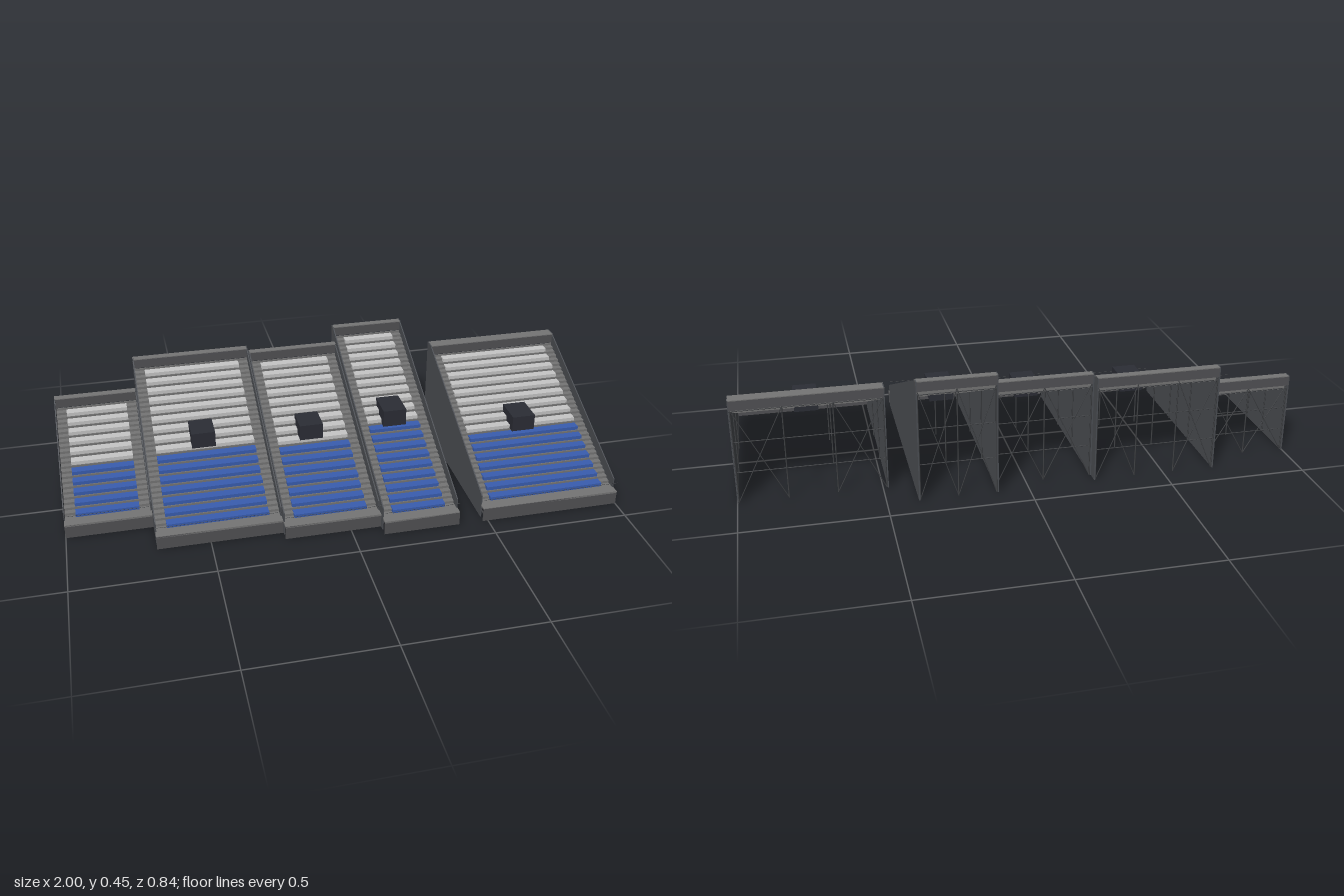
import * as THREE from 'three';

const mat = (name, color) => new THREE.MeshStandardMaterial({ name, color });
const M = {
  panel: mat('slate panel', 0x4c4f54),
  fascia: mat('dark grey fascia', 0x515154),
  deck: mat('concrete grey', 0x757575),
  white: mat('light grey seat', 0xc6c6c6),
  blue: mat('blue seat', 0x395db0),
  portal: mat('charcoal portal', 0x2b2d35),
  steel: mat('dark steel', 0x414346),
};

// Stand blocks: x range, z range, height, back band depth, rows, blue rows, entrance [x, z back, z front, y low, y high]
const STANDS = [
  { x: [-1, -0.69], z: [-0.33, 0.19], h: 0.30, band: 0.028, rows: 11, blue: 5 },
  { x: [-0.69, -0.24], z: [-0.41, 0.33], h: 0.395, band: 0.028, rows: 16, blue: 7, entry: [-0.472, -0.105, 0.0, 0.195, 0.255] },
  { x: [-0.24, 0.11], z: [-0.37, 0.37], h: 0.395, band: 0.026, rows: 16, blue: 7, entry: [-0.072, -0.07, 0.03, 0.195, 0.255] },
  { x: [0.11, 0.39], z: [-0.42, 0.42], h: 0.445, band: 0.026, rows: 19, blue: 9, entry: [0.25, -0.08, 0.035, 0.215, 0.28] },
  { x: [0.48, 1], z: [-0.305, 0.42], h: 0.385, band: 0.045, rows: 16, blue: 7, entry: [0.737, 0.01, 0.12, 0.18, 0.24] },
];
const DECK_Y = 0.053, AISLE = 0.042, WALL = 0.004;

// Box given by its limits on each axis
function box(parent, name, material, x0, x1, y0, y1, z0, z1) {
  const m = new THREE.Mesh(new THREE.BoxGeometry(x1 - x0, y1 - y0, z1 - z0), material);
  m.position.set((x0 + x1) / 2, (y0 + y1) / 2, (z0 + z1) / 2);
  m.name = name;
  parent.add(m);
}

// Thin bar between two points
function bar(parent, name, a, b, r = 0.0016) {
  const p = new THREE.Vector3(...a), q = new THREE.Vector3(...b);
  const m = new THREE.Mesh(new THREE.CylinderGeometry(r, r, p.distanceTo(q), 6), M.steel);
  m.position.copy(p).lerp(q, 0.5);
  m.quaternion.setFromUnitVectors(new THREE.Vector3(0, 1, 0), q.sub(p).normalize());
  m.name = name;
  parent.add(m);
}

// Sloping side wall, drawn in (z, y) and extruded across x
function sideWall(parent, x, zb, zf, h, band) {
  const s = new THREE.Shape();
  s.moveTo(-zf, 0);
  s.lineTo(-zb, 0);
  s.lineTo(-zb, h);
  s.lineTo(-zb - band, h);
  s.lineTo(-zb - band, h - 0.004);
  s.lineTo(-zf, 0.09);
  s.closePath();
  const m = new THREE.Mesh(new THREE.ExtrudeGeometry(s, { depth: WALL, bevelEnabled: false }), M.panel);
  m.rotation.y = Math.PI / 2;
  m.position.x = x;
  m.name = 'sideWall';
  parent.add(m);
}

function buildStand({ x: [x0, x1], z: [zb, zf], h, band, rows, blue, entry }) {
  const g = new THREE.Group();
  g.name = 'stand';
  const first = zf - 0.042, last = zb + band;
  const pitch = (first - last) / rows;
  const rise = (h - 0.04 - DECK_Y) / rows;
  const a0 = x0 + WALL, a1 = x1 - WALL;

  // Side walls, front wall and front walkway
  sideWall(g, x0, zb, zf - 0.03, h, band);
  sideWall(g, x1 - WALL, zb, zf - 0.03, h, band);
  box(g, 'frontWall', M.fascia, x0, x1, 0, DECK_Y - 0.002, zf - 0.004, zf);
  box(g, 'frontWalkway', M.deck, x0, x1, 0.046, DECK_Y, first, zf);
  bar(g, 'frontRail', [x0, 0.09, zf], [x1, 0.09, zf], 0.0007);

  // Terraces with seats between two stepped aisles
  for (let i = 0; i < rows; i++) {
    const y = DECK_Y + i * rise, z1 = first - i * pitch, z0 = z1 - pitch;
    box(g, 'tread', M.deck, a0, a1, y - 0.004, y, z0, z1);
    box(g, 'riser', M.deck, a0, a1, y, y + rise, z0 - 0.003, z0);
    box(g, 'seatRow', i < blue ? M.blue : M.white, x0 + AISLE, x1 - AISLE, y, y + 0.0135, z0 + 0.004, z1 - 0.004);
    for (const [s0, s1] of [[a0, x0 + AISLE], [x1 - AISLE, a1]])
      box(g, 'aisleStep', M.deck, s0, s1, y, y + rise / 2, z0, z0 + pitch / 2);
  }

  // Back parapet with a pale capping
  box(g, 'backParapet', M.fascia, x0, x1, h - 0.037, h - 0.003, zb, last);
  box(g, 'parapetCap', M.deck, x0, x1, h - 0.003, h, zb, last);

  // Entrance portal
  if (entry) {
    const [x, ez0, ez1, y0, y1] = entry;
    box(g, 'entrancePortal', M.portal, x - 0.044, x + 0.044, y0, y1, ez0, ez1);
  }

  // Supporting frame: posts in three lines, back rails and cross braces
  const bays = Math.max(2, Math.round((x1 - x0) / 0.16));
  const zBack = zb + 0.008, top = h - 0.04;
  const bx = i => x0 + 0.006 + (x1 - x0 - 0.012) * i / bays;
  for (const t of [0, 0.33, 0.62]) {
    const z = zBack + (first - zBack) * t;
    const y = Math.min(top, DECK_Y + (first - z) / pitch * rise - 0.02);
    for (let i = 0; i <= bays; i++) bar(g, 'post', [bx(i), 0, z], [bx(i), y, z], 0.0025);
    bar(g, 'crossBeam', [a0, y, z], [a1, y, z]);
  }
  for (const f of [0.33, 0.66]) bar(g, 'backRail', [a0, top * f, zBack], [a1, top * f, zBack]);
  for (const i of [0, bays - 1]) {
    bar(g, 'brace', [bx(i), 0, zBack], [bx(i + 1), top, zBack]);
    bar(g, 'brace', [bx(i + 1), 0, zBack], [bx(i), top, zBack]);
  }
  return g;
}

export function createModel() {
  const model = new THREE.Group();
  model.name = 'grandstands';
  for (const stand of STANDS) model.add(buildStand(stand));
  return model;
}
